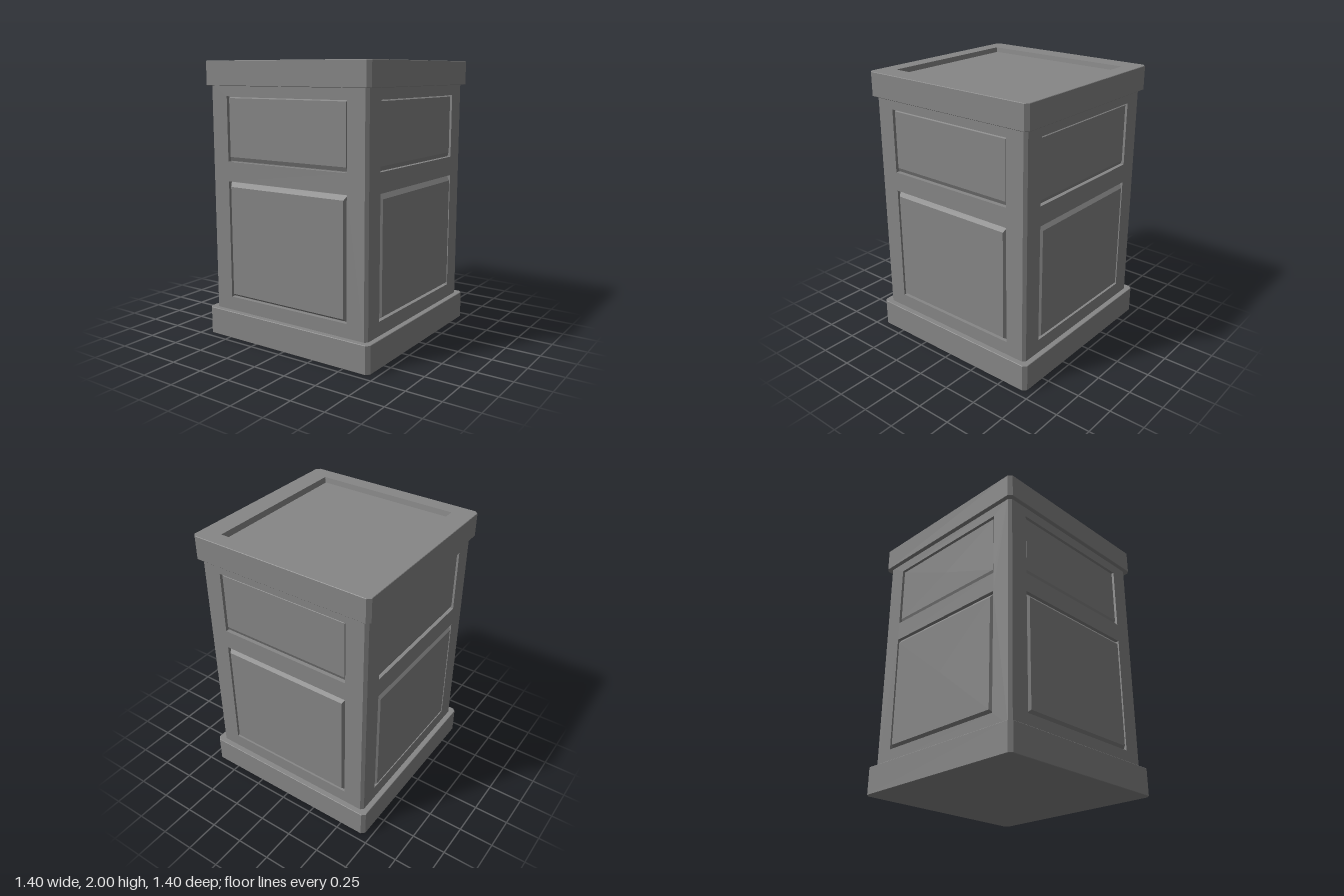
import * as THREE from 'three';

const material = new THREE.MeshStandardMaterial({ color: 0x878787, flatShading: true });

// Rectangle in the xz plane with corners cut by c, at height y, shifted by dz
function ring(hx, hz, c, y, dz = 0) {
  return [
    [hx, -hz + c], [hx, hz - c], [hx - c, hz], [-hx + c, hz],
    [-hx, hz - c], [-hx, -hz + c], [-hx + c, -hz], [hx - c, -hz],
  ].map(([x, z]) => new THREE.Vector3(x, y, z + dz));
}

// Skin a stack of rings and close both ends
function loft(rings) {
  const pts = [];
  const n = rings[0].length;
  const first = rings[0], last = rings[rings.length - 1];
  const low = new THREE.Vector3(0, first[0].y, 0);
  const high = new THREE.Vector3(0, last[0].y, 0);
  for (let j = 0; j < n; j++) {
    const k = (j + 1) % n;
    pts.push(low, first[j], first[k], high, last[k], last[j]);
    for (let i = 0; i < rings.length - 1; i++) {
      const a = rings[i], b = rings[i + 1];
      pts.push(a[j], b[j], a[k], a[k], b[j], b[k]);
    }
  }
  const geometry = new THREE.BufferGeometry().setFromPoints(pts);
  geometry.computeVertexNormals();
  return geometry;
}

function add(parent, name, geometry) {
  const mesh = new THREE.Mesh(geometry, material);
  mesh.name = name;
  parent.add(mesh);
}

function rectangle(PathType, x, y0, y1) {
  return new PathType([[-x, y0], [x, y0], [x, y1], [-x, y1]].map(([px, py]) => new THREE.Vector2(px, py)));
}

// Panel openings: half width, bottom, top, front of the raised field and its bevel widths
const PANELS = [
  { name: 'lowerPanel', hx: 0.505, y0: 0.3, y1: 1.155, front: 0.665, side: 0.024, upper: 0.038, lower: 0.026 },
  { name: 'upperPanel', hx: 0.505, y0: 1.295, y1: 1.755, front: 0.65, side: 0.013, upper: 0.013, lower: 0.034 },
];
const GAP = 0.006, BACK = 0.63, FACE = 0.66, EDGE = 0.64, BOTTOM = 0.19, TOP = 1.84;

// One side of the cabinet: frame with two openings and bevelled panels
function createSide(name) {
  const side = new THREE.Group();
  side.name = name;
  const outline = rectangle(THREE.Shape, EDGE, BOTTOM, TOP);
  for (const p of PANELS) outline.holes.push(rectangle(THREE.Path, p.hx, p.y0, p.y1));
  const frame = new THREE.ExtrudeGeometry(outline, { depth: FACE - BACK, bevelEnabled: false });
  add(side, 'frame', frame.translate(0, 0, BACK));

  for (const p of PANELS) {
    const hy = (p.y1 - p.y0) / 2;
    const panel = loft([
      ring(p.hx - GAP, hy - GAP, 0.001, BACK - 0.01),
      ring(p.hx - GAP, hy - GAP, 0.001, BACK + 0.008),
      ring(p.hx - p.side, hy - (p.upper + p.lower) / 2, 0.001, p.front, (p.upper - p.lower) / 2),
    ]);
    add(side, p.name, panel.rotateX(Math.PI / 2).translate(0, (p.y0 + p.y1) / 2, 0));
  }

  // Chamfered corner strip
  const wedge = new THREE.Shape([
    new THREE.Vector2(EDGE, -FACE), new THREE.Vector2(FACE, -EDGE), new THREE.Vector2(EDGE, -EDGE),
  ]);
  const strip = new THREE.ExtrudeGeometry(wedge, { depth: TOP - BOTTOM, bevelEnabled: false });
  add(side, 'cornerStrip', strip.rotateX(-Math.PI / 2).translate(0, BOTTOM, 0));
  return side;
}

export function createModel() {
  const model = new THREE.Group();
  model.name = 'pedestalCabinet';

  // Plinth with slightly softened edges
  add(model, 'plinth', loft([
    ring(0.697, 0.697, 0.025, 0), ring(0.7, 0.7, 0.025, 0.003),
    ring(0.7, 0.7, 0.025, 0.197), ring(0.697, 0.697, 0.025, 0.2),
  ]));

  // Inner core behind the frames
  add(model, 'core', loft([ring(BACK, BACK, 0.001, BOTTOM), ring(BACK, BACK, 0.001, TOP)]));

  ['front', 'left', 'back', 'right'].forEach((name, i) => {
    const side = createSide(name + 'Side');
    side.rotation.y = i * Math.PI / 2;
    model.add(side);
  });

  // Top slab with a recess holding a bevelled raised panel
  add(model, 'topSlab', loft([
    ring(0.687, 0.687, 0.025, 1.827), ring(0.69, 0.69, 0.025, 1.83),
    ring(0.69, 0.69, 0.025, 1.997), ring(0.687, 0.687, 0.025, 2),
    ring(0.536, 0.576, 0.001, 2), ring(0.53, 0.57, 0.001, 1.958),
    ring(0.512, 0.552, 0.001, 1.97),
  ]));

  return model;
}
